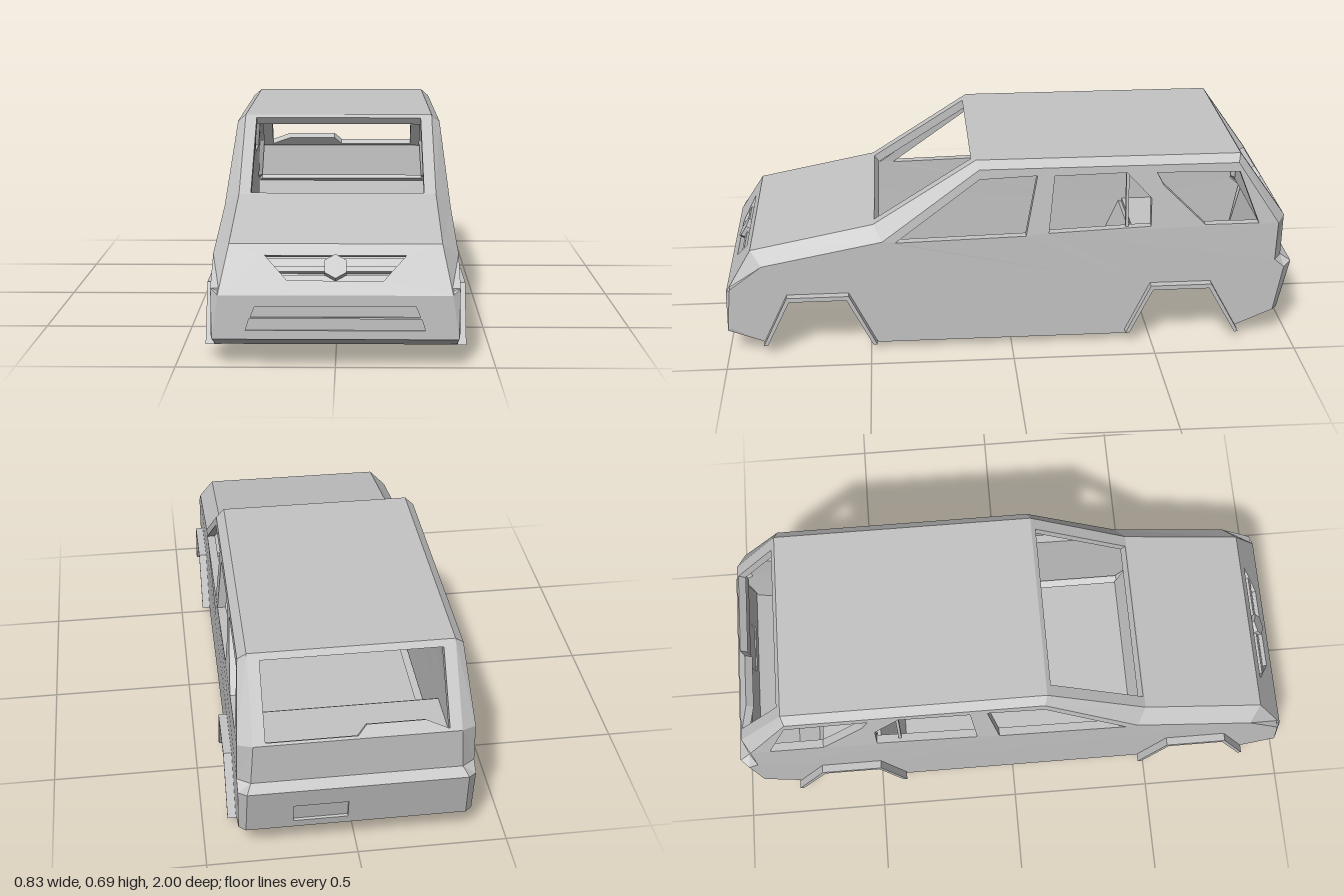
import * as THREE from 'three';

const paint = new THREE.MeshStandardMaterial({ color: 0xc4c4c4, side: THREE.DoubleSide });
paint.name = 'body grey';

// Body outline, front lip -> roof -> tail -> underside.
// Each row: centre panel edge z, y, half width, then the matching side panel corner z, y.
const RING = [
  [0.87, 0.04, 0.385, 0.87, 0.04],
  [1.0, 0.09, 0.385, 0.99, 0.1],
  [1.0, 0.23, 0.365, 0.985, 0.25],
  [0.91, 0.375, 0.335, 0.87, 0.335],
  [0.48, 0.46, 0.335, 0.45, 0.415],
  [0.12, 0.69, 0.335, 0.11, 0.665],
  [-0.8, 0.69, 0.335, -0.79, 0.665],
  [-0.97, 0.45, 0.335, -0.94, 0.44],
  [-0.965, 0.3, 0.345, -0.935, 0.3],
  [-1.0, 0.28, 0.36, -0.97, 0.27],
  [-0.96, 0.1, 0.365, -0.94, 0.1],
  [-0.8, 0.04, 0.375, -0.8, 0.04],
  [-0.7, 0.21, 0.38, -0.7, 0.21],
  [-0.5, 0.21, 0.38, -0.5, 0.21],
  [-0.41, 0, 0.335, -0.415, 0.025],
  [0.48, 0, 0.335, 0.475, 0.025],
  [0.58, 0.21, 0.38, 0.58, 0.21],
  [0.78, 0.21, 0.38, 0.78, 0.21],
];

const PANEL_NAMES = ['frontLip', 'frontBumper', 'nose', 'hood', 'windscreenFrame', 'roof',
  'rearWindowFrame', 'tailgate', 'bumperLedge', 'rearBumper', 'rearLip', 'rearWellBack', 'rearWellTop',
  'rearWellFront', 'floor', 'frontWellBack', 'frontWellTop', 'frontWellFront'];

// Openings in the centre panels, as x, y corners
const GRILLE = [[-0.222, 0.342], [0.222, 0.342], [0.15, 0.271], [-0.15, 0.271]];
const HOLES = {
  nose: [GRILLE],
  frontBumper: [
    [[-0.25, 0.195], [0.25, 0.195], [0.264, 0.16], [-0.264, 0.16]],
    [[-0.268, 0.155], [0.268, 0.155], [0.28, 0.118], [-0.28, 0.118]],
  ],
  windscreenFrame: [[[-0.295, 0.463], [0.295, 0.463], [0.295, 0.68], [-0.295, 0.68]]],
  rearWindowFrame: [[[-0.295, 0.458], [-0.22, 0.486], [-0.03, 0.486], [0, 0.458], [0.295, 0.458],
    [0.295, 0.67], [-0.295, 0.67]]],
  rearBumper: [[[0.03, 0.13], [0.21, 0.13], [0.21, 0.205], [0.03, 0.205]]],
};
const RECESS = { nose: 0.028, frontBumper: 0.007, rearBumper: 0.01 };

// Side windows, as z, y corners
const SIDE_WINDOWS = [
  [[0.405, 0.41], [0.11, 0.63], [-0.09, 0.638], [-0.05, 0.42]],
  [[-0.13, 0.428], [-0.15, 0.635], [-0.4, 0.64], [-0.488, 0.545], [-0.488, 0.442]],
  [[-0.505, 0.638], [-0.795, 0.632], [-0.87, 0.442], [-0.68, 0.442], [-0.53, 0.59]],
];

const toPath = (pts, Type = THREE.Path) => new Type(pts.map(([a, b]) => new THREE.Vector2(a, b)));
const extrude = (shape, depth) => new THREE.ExtrudeGeometry(shape, { depth, bevelEnabled: false });
const sideX = (y) => 0.388 - 0.09 * Math.max(0, y - 0.4);

function addMesh(parent, name, geometry) {
  const mesh = new THREE.Mesh(geometry, paint);
  mesh.name = name;
  parent.add(mesh);
  return mesh;
}

// Full-width panel between two outline points; local x across, y along, z outward
function centrePanel(i) {
  const name = PANEL_NAMES[i];
  const [za, ya, wa] = RING[i];
  const [zb, yb, wb] = RING[(i + 1) % RING.length];
  const along = new THREE.Vector3(0, yb - ya, zb - za);
  const length = along.length();
  along.normalize();
  const across = new THREE.Vector3(1, 0, 0);
  const out = across.clone().cross(along);
  const toLocal = ([x, y]) => [x, ((y - ya) / (yb - ya)) * length];

  const group = new THREE.Group();
  group.name = name + 'Panel';
  group.matrix.makeBasis(across, along, out).setPosition(0, ya, za);
  group.matrix.decompose(group.position, group.quaternion, group.scale);

  const shape = toPath([[-wa, 0], [wa, 0], [wb, length], [-wb, length]], THREE.Shape);
  const holes = (HOLES[name] || []).map((h) => h.map(toLocal));
  shape.holes = holes.map((h) => toPath(h));
  const depth = i >= 3 && i <= 6 ? 0.03 : 0.015;
  addMesh(group, name, extrude(shape, depth).translate(0, 0, -depth));

  // Floors of the shallow recesses
  if (RECESS[name]) {
    for (const h of holes) {
      const back = new THREE.ShapeGeometry(toPath(h, THREE.Shape));
      addMesh(group, name + 'Recess', back.translate(0, 0, -RECESS[name]));
    }
  }
  if (name === 'nose') addGrille(group, toLocal);
  return group;
}

// Cross bar, sloping lower bar and plain six-sided boss
function addGrille(group, toLocal) {
  const bars = [
    [[-0.2, 0.312], [0.2, 0.312], [0.19, 0.298], [-0.19, 0.298]],
    [[-0.176, 0.291], [0.176, 0.291], [0.155, 0.272], [-0.155, 0.272]],
  ];
  bars.forEach((bar, k) => {
    const shape = toPath(bar.map(toLocal), THREE.Shape);
    addMesh(group, 'grilleBar', extrude(shape, k ? 0.008 : 0.022).translate(0, 0, -0.026));
  });
  const boss = new THREE.CylinderGeometry(0.04, 0.04, 0.035, 6).toNonIndexed();
  boss.rotateX(Math.PI / 2).translate(0, toLocal([0, 0.309])[1], -0.008);
  boss.computeVertexNormals();
  addMesh(group, 'grilleBoss', boss);
}

// Side wall with window openings, leaning in above the belt line
function sidePanel(side) {
  const shape = toPath(RING.map((r) => [r[3], r[4]]), THREE.Shape);
  shape.holes = SIDE_WINDOWS.map((w) => toPath(w));
  return leanOut(extrude(shape, 0.03), side);
}

// Turns a z, y extrusion into a side part whose depth runs inward
function leanOut(geometry, side, offset = 0) {
  const p = geometry.attributes.position;
  for (let i = 0; i < p.count; i++) {
    const z = p.getX(i), y = p.getY(i), d = p.getZ(i);
    p.setXYZ(i, side * (sideX(y) + offset - d), y, z);
  }
  geometry.computeVertexNormals();
  return geometry;
}

// Bevel joining the centre panels to a side wall
function bevel(side) {
  const v = [];
  RING.forEach((r, i) => {
    const n = RING[(i + 1) % RING.length];
    const a = [side * r[2], r[1], r[0]], b = [side * n[2], n[1], n[0]];
    const c = [side * sideX(n[4]), n[4], n[3]], d = [side * sideX(r[4]), r[4], r[3]];
    v.push(...(side > 0 ? [a, d, c, a, c, b] : [a, c, d, a, b, c]).flat());
  });
  const g = new THREE.BufferGeometry();
  g.setAttribute('position', new THREE.Float32BufferAttribute(v, 3));
  g.computeVertexNormals();
  return g;
}

// Thin angular flare around a wheel opening
function archFlare(side, [z0, z1, z2, z3]) {
  const t = 0.014;
  const pts = [[z0, 0.04], [z1, 0.208], [z2, 0.208], [z3, 0.03],
    [z3 - t, 0.03], [z2 - 0.008, 0.224], [z1 + 0.008, 0.224], [z0 + t, 0.04]];
  return leanOut(extrude(toPath(pts, THREE.Shape), 0.05), side, 0.028);
}

export function createModel() {
  const model = new THREE.Group();
  model.name = 'carBody';
  RING.forEach((_, i) => model.add(centrePanel(i)));
  for (const side of [1, -1]) {
    const label = side > 0 ? 'left' : 'right';
    addMesh(model, label + 'SidePanel', sidePanel(side));
    addMesh(model, label + 'Bevel', bevel(side));
    addMesh(model, label + 'FrontArchFlare', archFlare(side, [0.862, 0.78, 0.58, 0.492]));
    addMesh(model, label + 'RearArchFlare', archFlare(side, [-0.42, -0.5, -0.7, -0.8]));
    // Slim upright in the rear door window
    const bar = addMesh(model, label + 'WindowDivider', new THREE.BoxGeometry(0.015, 0.21, 0.01));
    bar.position.set(side * 0.355, 0.54, -0.405);
    bar.rotation.z = side * 0.09;
  }
  return model;
}
